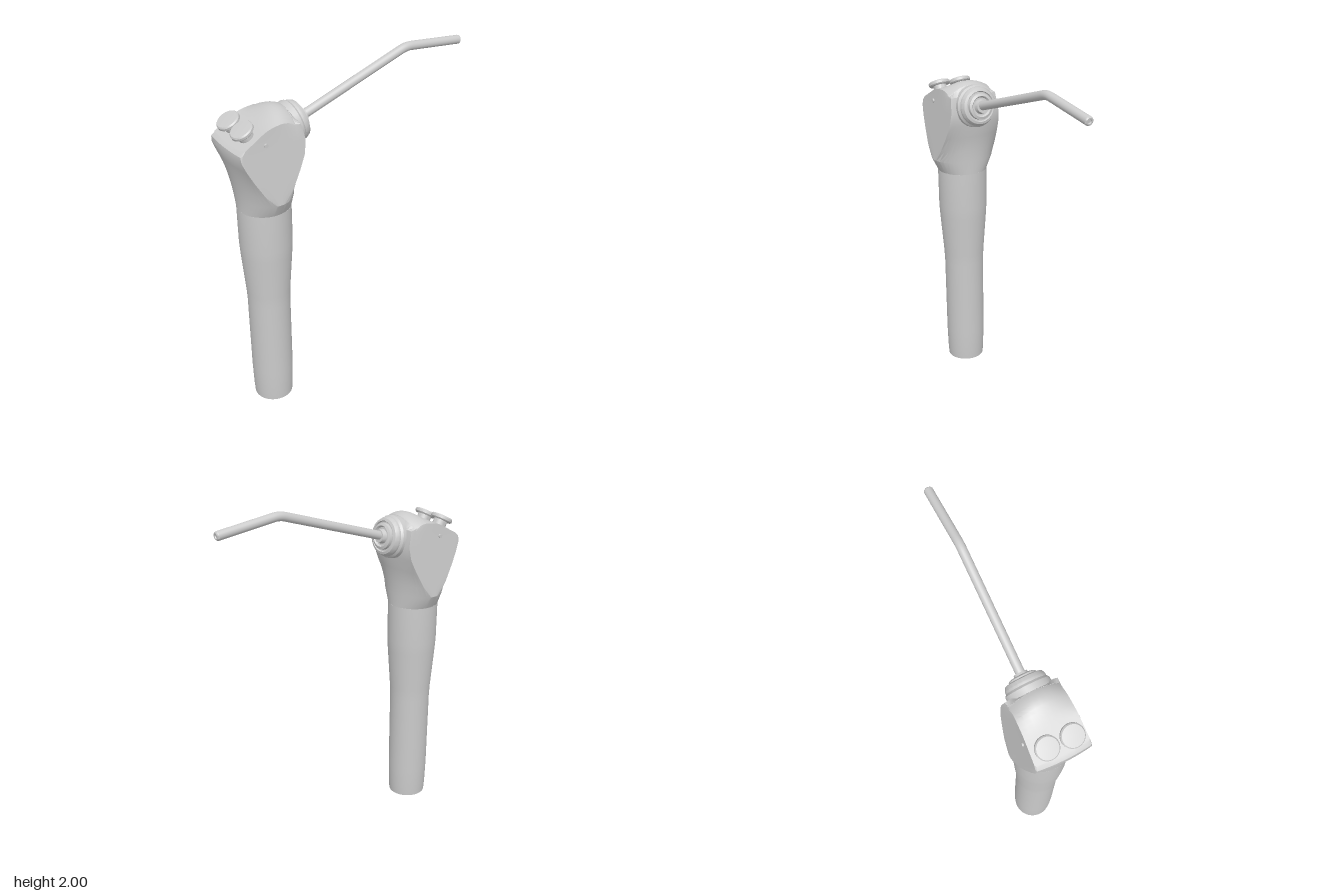
import * as THREE from 'three';
import { toCreasedNormals } from 'three/addons/utils/BufferGeometryUtils.js';

const material = new THREE.MeshStandardMaterial({ color: 0xcccccc });
const AXIS_X = -0.555;

function add(parent, name, geometry) {
  const mesh = new THREE.Mesh(geometry, material);
  mesh.name = name;
  parent.add(mesh);
  return mesh;
}

function lathe(points, sides, crease = 0.5) {
  const g = new THREE.LatheGeometry(points.map(([r, y]) => new THREE.Vector2(r, y)), sides);
  return toCreasedNormals(g, crease);
}

// Half width of the flat, inward leaning cheeks at a height
const cheek = y => 0.19 - (y - 1.38) * 0.11;

// Sloping top of the head, rounded over near the nozzle
function topHeight(x, z) {
  const slope = 1.72 + (x + 0.74) * 0.5625;
  const over = Math.max(0, x + 0.52);
  const drop = 0.06 * THREE.MathUtils.smoothstep(x, -0.62, -0.42);
  return slope - over * over * 5.5 - drop * (z / 0.14) ** 2;
}

// Head: tilting oval sections, cut flat on both sides, closed by a sloping top
function headGeometry() {
  // left x, left y, right x, right y, half depth before the cheeks cut it
  const sections = [
    [-0.703, 1.3, -0.407, 1.3, 0.148],
    [-0.705, 1.38, -0.405, 1.38, 0.19],
    [-0.715, 1.45, -0.402, 1.45, 0.215],
    [-0.73, 1.54, -0.39, 1.54, 0.28],
    [-0.75, 1.61, -0.37, 1.62, 0.37],
    [-0.768, 1.67, -0.365, 1.7, 0.45],
    [-0.765, 1.7, -0.39, 1.79, 0.5],
    [-0.745, 1.72, -0.42, 1.845, 0.5],
  ];
  const Q = 16, H = Q / 2, N = Q * 4, M = 8;
  const pos = [], index = [];
  sections.forEach(([lx, ly, rx, ry, b], j) => {
    const corner = Math.min(1.4, Math.asin(Math.min(1, cheek((ly + ry) / 2) / b)));
    for (let i = 0; i < N; i++) {
      // samples in each quarter meet exactly at the cheek edge
      const q = Math.floor(i / Q), r = i % Q, m = q % 2 ? Q - r : r;
      const a = m <= H ? corner * m / H
        : corner + (Math.PI / 2 - corner) * (m - H) / H;
      const cx = Math.cos(a) * (q === 1 || q === 2 ? -1 : 1);
      const t = (1 + cx) / 2;
      const x = lx + (rx - lx) * t;
      let y = ly + (ry - ly) * t;
      const z = Math.min(b * Math.sin(a), cheek(y));
      if (j === sections.length - 1) y = topHeight(x, z);
      pos.push(x, y, q < 2 ? z : -z);
    }
  });
  for (let j = 0; j < sections.length - 1; j++) {
    for (let i = 0; i < N; i++) {
      const a = j * N + i, b = j * N + (i + 1) % N;
      index.push(a, a + N, b, b, a + N, b + N);
    }
  }
  // top surface, in strips from one side to the other
  const last = (sections.length - 1) * N, cap = pos.length / 3;
  for (let i = 0; i <= N / 2; i++) {
    const x = pos[(last + i) * 3], edge = pos[(last + i) * 3 + 2];
    for (let k = 0; k <= M; k++) {
      const z = edge * (1 - 2 * k / M);
      pos.push(x, topHeight(x, z), z);
    }
  }
  for (let i = 0; i < N / 2; i++) {
    for (let k = 0; k < M; k++) {
      const a = cap + i * (M + 1) + k, b = a + M + 1;
      index.push(a, a + 1, b, b, a + 1, b + 1);
    }
  }
  const g = new THREE.BufferGeometry();
  g.setAttribute('position', new THREE.Float32BufferAttribute(pos, 3));
  g.setIndex(index);
  g.computeVertexNormals();
  return toCreasedNormals(g, 0.4);
}

export function createModel() {
  const model = new THREE.Group();
  model.name = 'handheldSprayer';

  // Handle with a narrower grip
  add(model, 'handle', lathe([
    [0, 0], [0.111, 0], [0.115, 0.06], [0.119, 0.2], [0.121, 0.68], [0.124, 0.75],
    [0.143, 1], [0.147, 1.07], [0.148, 1.3], [0, 1.3],
  ], 48)).position.x = AXIS_X;

  add(model, 'head', headGeometry());

  // Stepped collar that holds the nozzle
  const collar = add(model, 'nozzleCollar', lathe([
    [0, -0.04], [0.1, -0.04], [0.113, 0], [0.122, 0.012], [0.122, 0.05], [0.112, 0.062],
    [0.112, 0.075], [0.102, 0.095], [0.088, 0.1], [0.084, 0.092], [0.076, 0.092],
    [0.074, 0.11], [0.06, 0.116], [0.052, 0.105], [0.042, 0.105], [0.036, 0.13], [0, 0.13],
  ], 24));
  collar.position.set(-0.41, 1.722, 0);
  collar.rotation.z = -Math.PI / 2 + 0.2;

  // Bent nozzle tube with rounded end
  const path = new THREE.CurvePath();
  const p = (x, y) => new THREE.Vector3(x, y, 0);
  path.add(new THREE.LineCurve3(p(-0.36, 1.727), p(0.34, 1.962)));
  path.add(new THREE.QuadraticBezierCurve3(p(0.34, 1.962), p(0.38, 1.977), p(0.42, 1.972)));
  path.add(new THREE.LineCurve3(p(0.42, 1.972), p(0.752, 1.934)));
  add(model, 'nozzleTube', new THREE.TubeGeometry(path, 80, 0.025, 20));
  const tip = add(model, 'nozzleTip', lathe([
    [0.025, 0], [0.024, 0.006], [0.019, 0.011], [0.012, 0.011], [0.01, 0.004], [0, 0.004],
  ], 20));
  tip.position.set(0.751, 1.934, 0);
  tip.rotation.z = -Math.PI / 2 - 0.114;

  // Two push buttons and the pivot pin ends, mirrored
  for (const side of [1, -1]) {
    const button = add(model, side > 0 ? 'frontButton' : 'backButton', lathe([
      [0, -0.08], [0.04, -0.08], [0.04, -0.01], [0.058, -0.01], [0.064, -0.004],
      [0.064, 0.009], [0.058, 0.016], [0, 0.019],
    ], 32));
    button.position.set(-0.694, 1.797, side * 0.069);
    button.rotation.z = 0.51;

    const pin = add(model, side > 0 ? 'frontPin' : 'backPin',
      new THREE.CylinderGeometry(0.011, 0.011, 0.03, 16));
    pin.position.set(-0.61, 1.727, side * 0.145);
    pin.rotation.x = Math.PI / 2;
  }
  return model;
}
